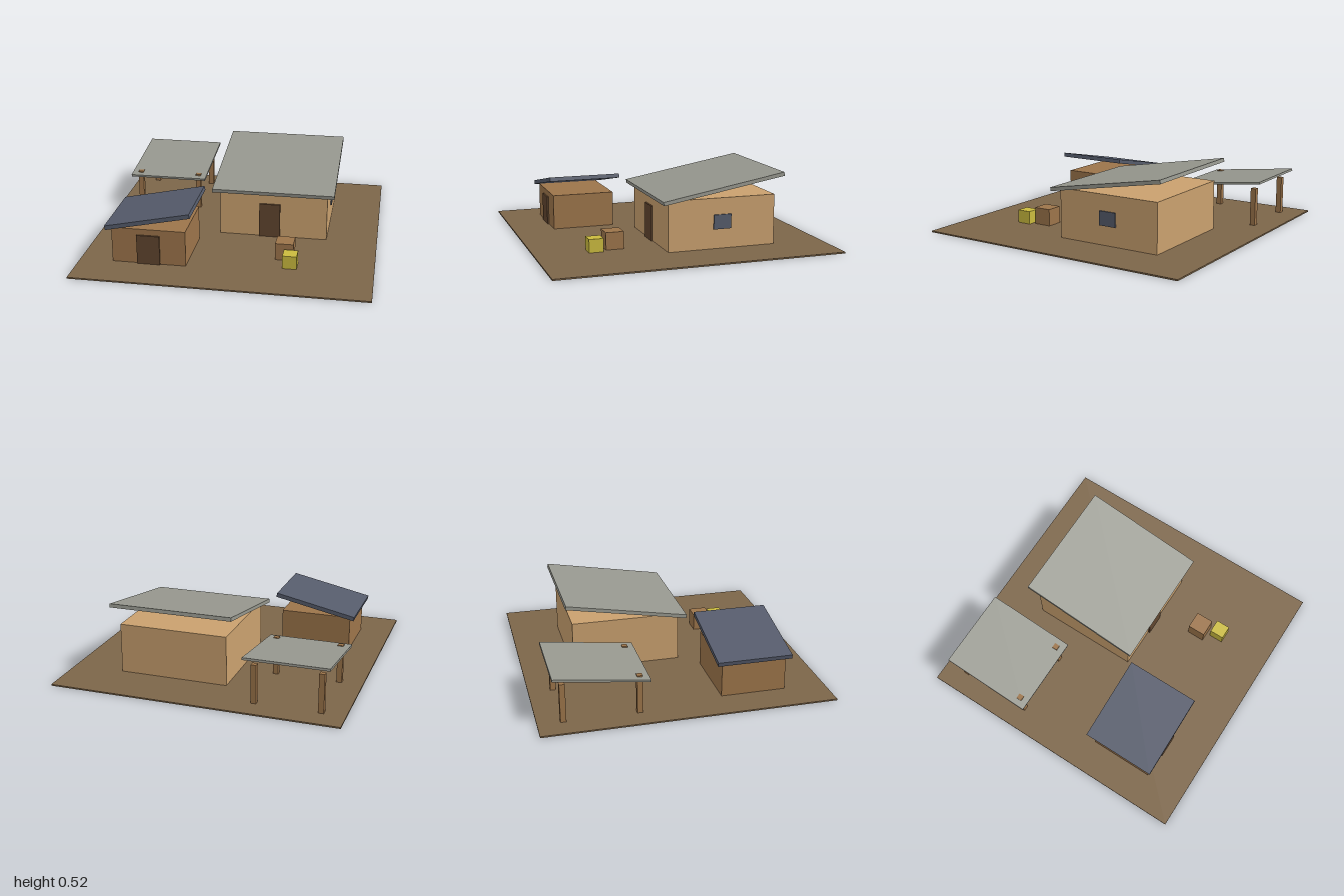
import * as THREE from 'three';

const material = (name, color) => new THREE.MeshStandardMaterial({ name, color });

export function createModel() {
  const model = new THREE.Group();
  model.name = 'farmyard';

  const earth = material('brown earth', 0x7c6549);
  const plaster = material('tan plaster', 0xc9a06e);
  const wood = material('brown wood', 0x9c744a);
  const darkWood = material('dark wood', 0x60452e);
  const tin = material('grey tin', 0x96978e);
  const slate = material('blue slate', 0x555b6b);
  const straw = material('yellow straw', 0xcaba3e);

  // Box given by its lower and upper limits on each axis
  function block(name, mat, [x0, x1], [y0, y1], [z0, z1], parent = model) {
    const mesh = new THREE.Mesh(new THREE.BoxGeometry(x1 - x0, y1 - y0, z1 - z0), mat);
    mesh.position.set((x0 + x1) / 2, (y0 + y1) / 2, (z0 + z1) / 2);
    mesh.name = name;
    parent.add(mesh);
    return mesh;
  }

  // Tilted roof slab given by its size, centre and tilt in degrees
  function roof(name, mat, size, centre, tiltX, tiltZ, parent) {
    const mesh = new THREE.Mesh(new THREE.BoxGeometry(...size), mat);
    mesh.position.set(...centre);
    mesh.rotation.set(THREE.MathUtils.degToRad(tiltX), 0, THREE.MathUtils.degToRad(tiltZ));
    mesh.name = name;
    parent.add(mesh);
  }

  function group(name) {
    const g = new THREE.Group();
    g.name = name;
    model.add(g);
    return g;
  }

  const floor = 0.002; // buildings are sunk into the ground slab
  block('ground', earth, [-1, 1], [0, 0.01], [-1, 1]);

  // Main house, its roof rising towards the back
  const house = group('house');
  block('houseWalls', plaster, [-0.13, 0.64], [floor, 0.36], [-0.64, 0.13], house);
  block('houseDoor', darkWood, [0.155, 0.305], [floor, 0.26], [0.125, 0.143], house);
  block('houseWindow', slate, [0.635, 0.649], [0.146, 0.246], [-0.32, -0.193], house);
  roof('houseRoof', tin, [0.87, 0.026, 0.88], [0.255, 0.43, -0.255], 10, 0, house);

  // Shed, its roof rising towards the house
  const shed = group('shed');
  block('shedWalls', wood, [-0.77, -0.26], [floor, 0.26], [0.26, 0.71], shed);
  block('shedDoor', darkWood, [-0.595, -0.437], [floor, 0.218], [0.705, 0.722], shed);
  roof('shedRoof', slate, [0.597, 0.03, 0.52], [-0.515, 0.327, 0.48], 0, 12, shed);

  // Open shelter on four posts that pierce the low side of the roof
  const shelter = group('shelter');
  for (const x of [-0.837, -0.387]) {
    for (const z of [-0.83, -0.325]) {
      block('post', wood, [x - 0.019, x + 0.019], [floor, 0.28], [z - 0.019, z + 0.019], shelter);
    }
  }
  roof('shelterRoof', tin, [0.575, 0.016, 0.641], [-0.6125, 0.296, -0.58], 7, 0, shelter);

  // Loose goods in the yard
  block('crate', wood, [0.32, 0.445], [floor, 0.131], [0.383, 0.51]);
  block('strawBale', straw, [0.385, 0.482], [floor, 0.103], [0.535, 0.637]);

  return model;
}
